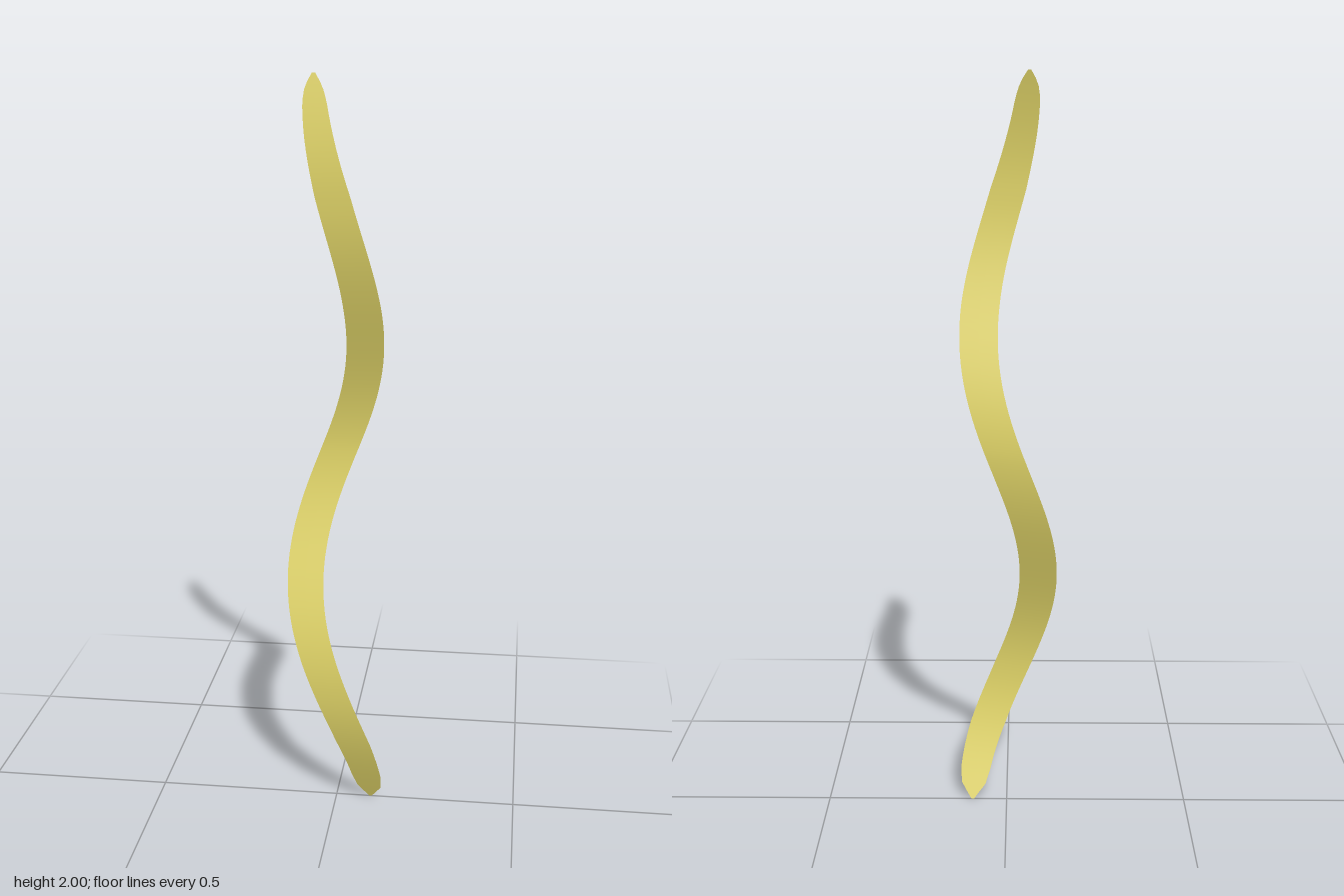
import * as THREE from 'three';

// Piecewise-linear lookup in a list of [height, value] pairs
function lookup(table, y) {
  for (let i = 1; i < table.length; i++) {
    const [y0, v0] = table[i - 1], [y1, v1] = table[i];
    if (y <= y1) return THREE.MathUtils.mapLinear(y, y0, y1, v0, v1);
  }
  return table[table.length - 1][1];
}

const HALF_WIDTH = [[0, 0.004], [0.04, 0.034], [0.08, 0.042], [0.2, 0.049], [0.4, 0.051],
  [1.4, 0.051], [1.7, 0.047], [1.85, 0.038], [1.93, 0.032], [1.96, 0.025], [1.985, 0.014], [2, 0.004]];
const RADIUS = [[0, 0.096], [0.35, 0.088], [1.02, 0.083], [1.37, 0.072], [1.69, 0.061], [2, 0.058]];
const PITCH = 1.35;   // height of one turn
const TILT = 0.17;    // slant of the strip's width about the vertical

export function createModel() {
  const group = new THREE.Group();
  group.name = 'wavyRibbon';

  // Flat strip bent along a slowly narrowing helix, tapering at both tips
  const geometry = new THREE.PlaneGeometry(2, 2, 2, 100);
  const pos = geometry.attributes.position;
  for (let i = 0; i < pos.count; i++) {
    const y = THREE.MathUtils.clamp(pos.getY(i) + 1, 0, 2);
    const across = pos.getX(i) * lookup(HALF_WIDTH, y);
    const angle = (2 * Math.PI * y) / PITCH;
    const r = lookup(RADIUS, y);
    pos.setXYZ(i,
      r * Math.cos(angle) + across * Math.cos(TILT),
      y,
      r * Math.sin(angle) + across * Math.sin(TILT));
  }
  geometry.computeVertexNormals();

  const ribbon = new THREE.Mesh(geometry,
    new THREE.MeshStandardMaterial({ color: 0xe0d468, side: THREE.DoubleSide }));
  ribbon.name = 'ribbon';
  group.add(ribbon);
  return group;
}
